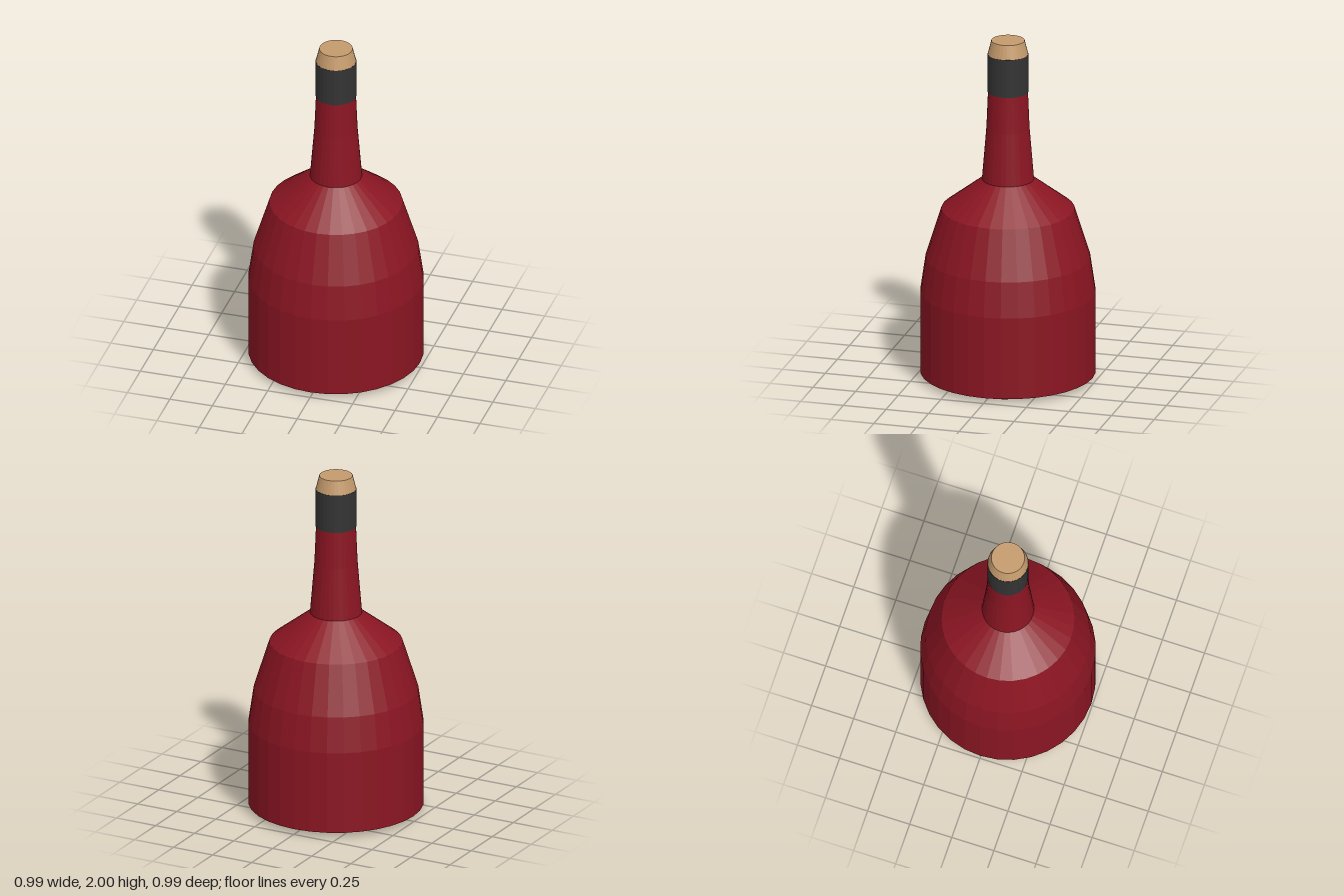
import * as THREE from 'three';

const SIDES = 32;

// Faceted solid of revolution from [radius, height] pairs, bottom to top
function turned(name, color, profile) {
  const points = profile.map(([r, y]) => new THREE.Vector2(r, y));
  const material = new THREE.MeshStandardMaterial({ color, flatShading: true });
  const mesh = new THREE.Mesh(new THREE.LatheGeometry(points, SIDES), material);
  mesh.name = name;
  return mesh;
}

export function createModel() {
  const group = new THREE.Group();
  group.name = 'bottle';

  // Glass: chamfered base, straight wall, curved shoulder, tapering neck
  group.add(turned('glassBody', 0x8a1522, [
    [0, 0], [0.41, 0], [0.495, 0.03], [0.495, 0.51], [0.465, 0.715],
    [0.375, 1.0], [0.147, 1.175], [0.122, 1.48], [0.113, 1.695], [0, 1.695],
  ]));

  // Dark sleeve around the mouth
  group.add(turned('neckSleeve', 0x333333, [
    [0, 1.695], [0.115, 1.695], [0.115, 1.92], [0, 1.92],
  ]));

  // Tapered cork
  group.add(turned('cork', 0xc49a6c, [
    [0, 1.92], [0.114, 1.92], [0.094, 2.0], [0, 2.0],
  ]));

  return group;
}
